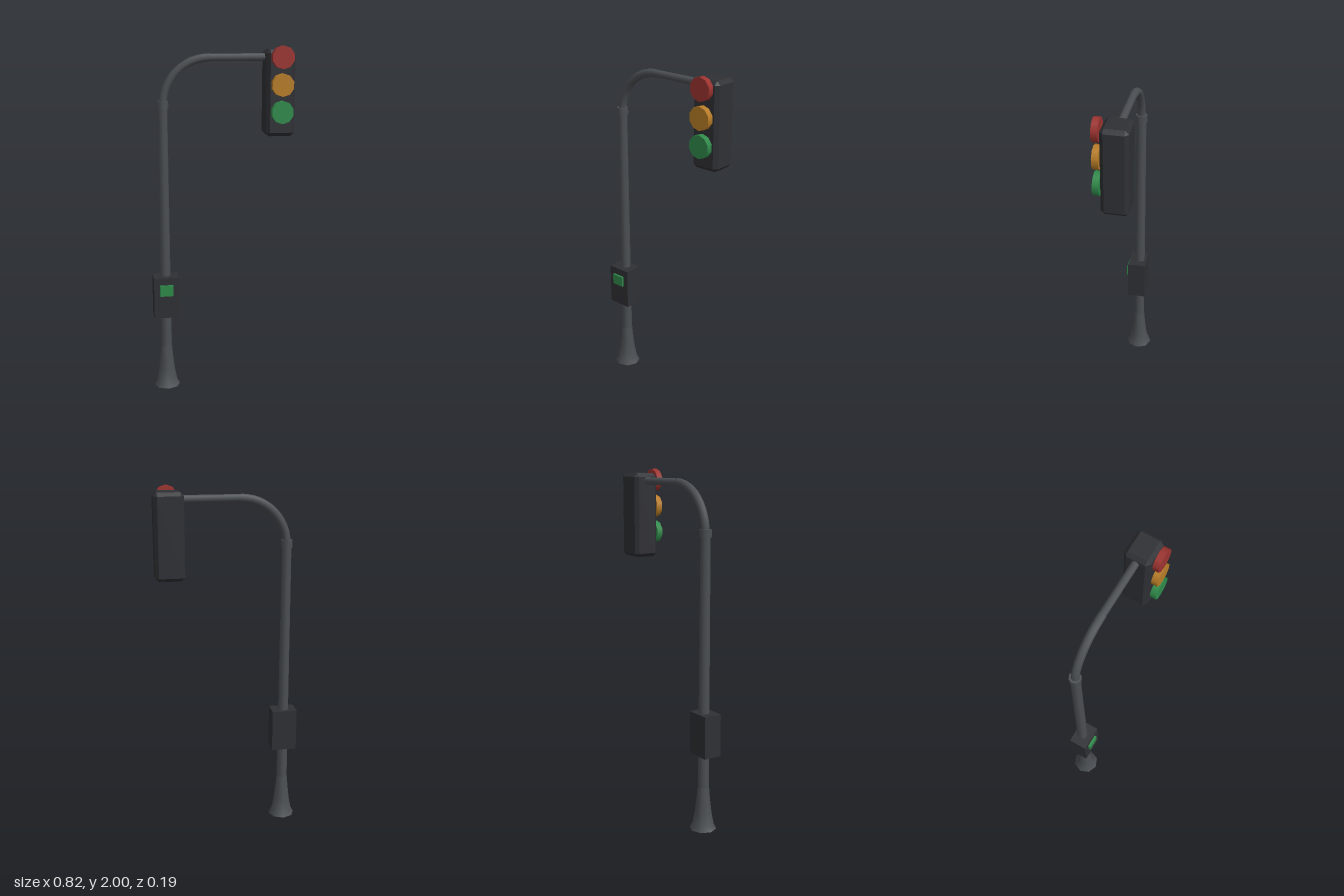
import * as THREE from 'three';
import { toCreasedNormals } from 'three/addons/utils/BufferGeometryUtils.js';
import { ConvexGeometry } from 'three/addons/geometries/ConvexGeometry.js';

const POLE_X = -0.334, HEAD_X = 0.326, AXIS_Z = -0.021;

const steel = new THREE.MeshStandardMaterial({ color: 0x4b4f53 });
const housing = new THREE.MeshStandardMaterial({ color: 0x2f3034 });
const red = new THREE.MeshStandardMaterial({ color: 0x9c3330 });
const amber = new THREE.MeshStandardMaterial({ color: 0xb87c26 });
const green = new THREE.MeshStandardMaterial({ color: 0x2f8a4a });

// Box with every edge cut at 45 degrees
function chamferedBox(w, h, d, c) {
  const points = [];
  for (const sx of [-1, 1]) for (const sy of [-1, 1]) for (const sz of [-1, 1]) {
    const x = w / 2, y = h / 2, z = d / 2;
    points.push(
      new THREE.Vector3(sx * x, sy * (y - c), sz * (z - c)),
      new THREE.Vector3(sx * (x - c), sy * y, sz * (z - c)),
      new THREE.Vector3(sx * (x - c), sy * (y - c), sz * z));
  }
  return new ConvexGeometry(points);
}

export function createModel() {
  const model = new THREE.Group();
  model.name = 'trafficLight';

  function add(name, geometry, material, x, y, z) {
    const mesh = new THREE.Mesh(geometry, material);
    mesh.name = name;
    mesh.position.set(x, y, z);
    model.add(mesh);
    return mesh;
  }

  // Flared foot, closed underneath
  const flare = [[0, 0], [0.077, 0], [0.061, 0.03], [0.048, 0.1], [0.039, 0.18], [0.033, 0.25]]
    .map(([r, y]) => new THREE.Vector2(r, y));
  add('flaredBase', toCreasedNormals(new THREE.LatheGeometry(flare, 8), 0.9), steel, POLE_X, 0, AXIS_Z);

  // Tapered pole and the collar at its top
  add('pole', new THREE.CylinderGeometry(0.027, 0.032, 1.44, 8), steel, POLE_X, 0.96, AXIS_Z);
  add('collar', new THREE.CylinderGeometry(0.033, 0.033, 0.042, 8), steel, POLE_X, 1.678, AXIS_Z);

  // Quarter-circle bend, then the straight arm
  const bendRadius = 0.264, bendY = 1.67;
  const bend = new THREE.CatmullRomCurve3(Array.from({ length: 9 }, (_, i) => {
    const a = Math.PI - (i / 8) * Math.PI / 2;
    return new THREE.Vector3(bendRadius * (1 + Math.cos(a)), bendRadius * Math.sin(a), 0);
  }));
  add('armBend', new THREE.TubeGeometry(bend, 12, 0.023, 8), steel, POLE_X, bendY, AXIS_Z);

  const armStart = POLE_X + bendRadius - 0.015, armEnd = HEAD_X - 0.05;
  add('arm', new THREE.CylinderGeometry(0.021, 0.021, armEnd - armStart, 8), steel,
    (armStart + armEnd) / 2, bendY + bendRadius, AXIS_Z).rotation.z = -Math.PI / 2;

  // Signal head with three lamps standing just off its front
  add('signalHousing', chamferedBox(0.165, 0.482, 0.147, 0.02), housing, HEAD_X, 1.736, AXIS_Z);
  const lampGeometry = new THREE.CylinderGeometry(0.064, 0.064, 0.035, 10).rotateX(Math.PI / 2);
  [['redLamp', red, 1.936], ['amberLamp', amber, 1.785], ['greenLamp', green, 1.634]]
    .forEach(([name, material, y]) => add(name, lampGeometry, material, HEAD_X, y, 0.0795));

  // Control cabinet on the pole with its small panel
  add('controlBox', new THREE.BoxGeometry(0.145, 0.243, 0.106), housing, POLE_X, 0.565, -0.012);
  add('controlPanel', new THREE.BoxGeometry(0.077, 0.064, 0.03), green, POLE_X, 0.612, 0.039);

  return model;
}
